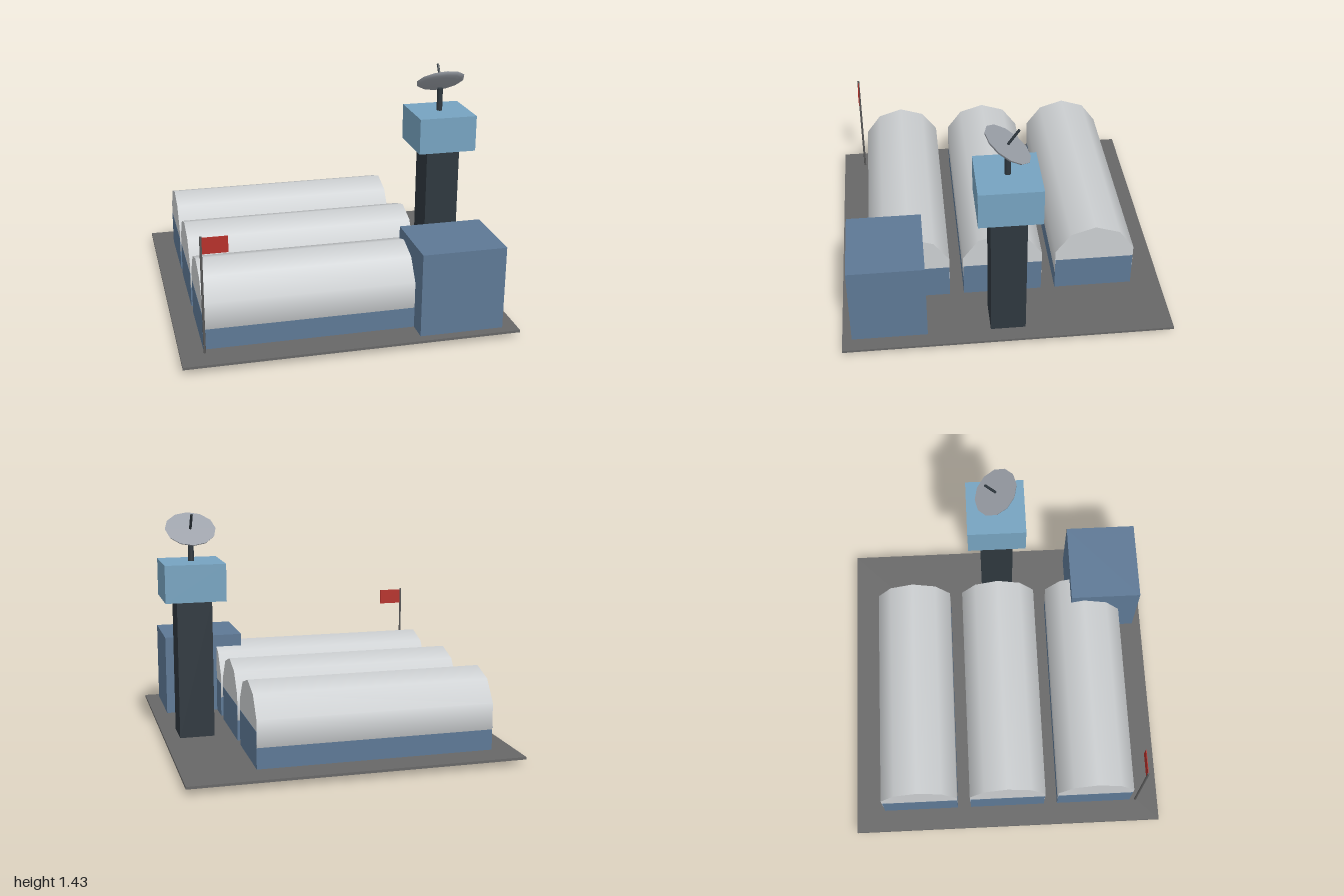
import * as THREE from 'three';

const mat = (name, color) => {
  const m = new THREE.MeshStandardMaterial({ color });
  m.name = name;
  return m;
};

export function createModel() {
  const ground = mat('ground grey', 0x676767);
  const hull = mat('pale metal', 0xcbced0);
  const blue = mat('wall blue', 0x5d7895);
  const dark = mat('tower slate', 0x2e373e);
  const cabin = mat('cabin light blue', 0x76a3c0);
  const dishGrey = mat('dish grey', 0x9ba0a8);
  const poleGrey = mat('pole grey', 0x5a5a5a);
  const red = mat('flag red', 0xb5302a);

  const model = new THREE.Group();
  model.name = 'outpost';

  const add = (name, geometry, material, x = 0, y = 0, z = 0, parent = model) => {
    const mesh = new THREE.Mesh(geometry, material);
    mesh.name = name;
    mesh.position.set(x, y, z);
    parent.add(mesh);
    return mesh;
  };

  // Box given by its extents on each axis
  const box = (name, material, [x0, x1], [y0, y1], [z0, z1], parent = model) =>
    add(name, new THREE.BoxGeometry(x1 - x0, y1 - y0, z1 - z0), material,
      (x0 + x1) / 2, (y0 + y1) / 2, (z0 + z1) / 2, parent);

  box('groundSlab', ground, [-1, 1], [0.035, 0.05], [-1, 1]);

  // Three barrel-roofed huts with blue lower walls; the barrels pass through the slab
  const barrel = new THREE.CylinderGeometry(0.257, 0.257, 1.43, 10);
  barrel.rotateY(Math.PI / 2).rotateZ(Math.PI / 2);
  for (const z of [-0.573, 0, 0.573]) {
    const hut = new THREE.Group();
    hut.name = 'hut';
    hut.position.z = z;
    model.add(hut);
    add('barrelRoof', barrel, hull, -0.145, 0.257, 0, hut);
    box('lowerWall', blue, [-0.861, 0.571], [0.05, 0.27], [-0.243, 0.243], hut);
  }

  box('commandBlock', blue, [0.4, 0.91], [0.05, 0.565], [0.487, 0.943]);

  // Watch tower
  box('towerShaft', dark, [0.69, 0.905], [0.05, 0.91], [-0.106, 0.106]);
  box('towerCabin', cabin, [0.614, 0.983], [0.91, 1.138], [-0.184, 0.184]);
  add('dishMast', new THREE.CylinderGeometry(0.018, 0.018, 0.145, 10), dark, 0.798, 1.21, 0);

  // Tilted dish: curved shell below, flat face above, feed rod in the middle
  const dish = new THREE.Group();
  dish.name = 'dish';
  dish.position.set(0.798, 1.336, 0);
  dish.rotation.x = -0.6;
  model.add(dish);
  const profile = [];
  for (let i = 0; i <= 6; i++) {
    const a = (i / 6) * Math.PI / 2;
    profile.push(new THREE.Vector2(0.155 * Math.sin(a), -0.038 * Math.cos(a)));
  }
  add('dishShell', new THREE.LatheGeometry(profile, 12), dishGrey, 0, 0, 0, dish);
  add('dishFace', new THREE.CircleGeometry(0.155, 12).rotateX(-Math.PI / 2), dishGrey, 0, 0, 0, dish);
  add('feedRod', new THREE.CylinderGeometry(0.008, 0.008, 0.11, 8), dark, 0, 0.053, 0, dish);

  // Flag
  add('flagPole', new THREE.CylinderGeometry(0.007, 0.007, 0.715, 8), poleGrey, -0.858, 0.4075, 0.855);
  box('flag', red, [-0.853, -0.705], [0.66, 0.758], [0.853, 0.857]);

  return model;
}
